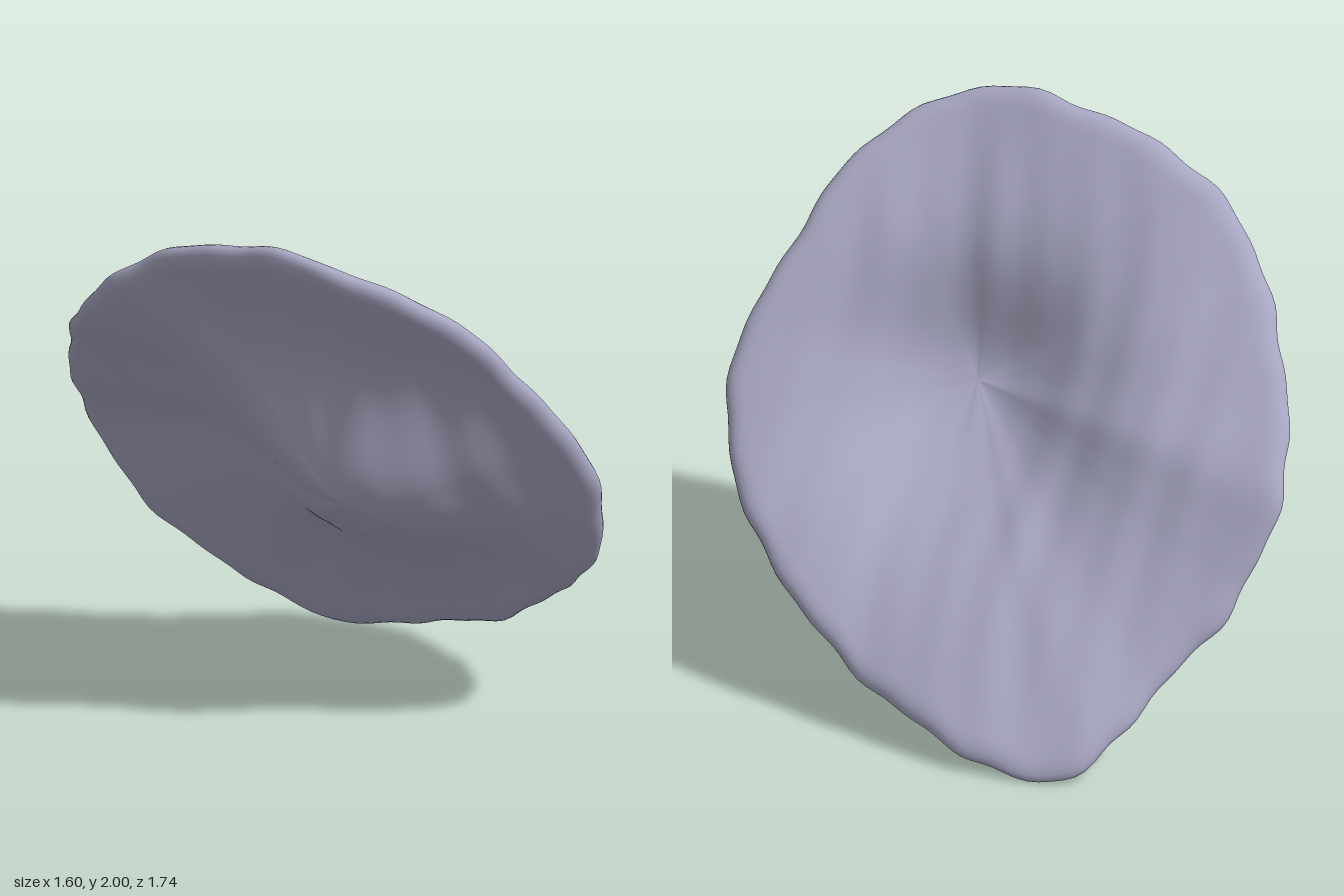
import * as THREE from 'three';
import { mergeVertices } from 'three/addons/utils/BufferGeometryUtils.js';

// Tilted disc frame: N is the hollow side's normal, U runs level, V runs up the slope
const N = new THREE.Vector3(0.624, 0.557, -0.546).normalize();
const U = new THREE.Vector3(0.659, 0, 0.753);
const V = new THREE.Vector3(-0.42, 0.83, 0.367);
const HUB = new THREE.Vector3(0.07, 1.11, 0.25); // above the deepest point
const DEPTH = 0.25, HALF_THICK = 0.04, SEGMENTS = 160, RINGS = 44;

// Uneven outline of the rim
const RIM = [
  [-0.5, 0.92, -0.85], [-0.38, 0.7, -0.86], [-0.26, 0.52, -0.85], [0, 0.28, -0.79],
  [0.3, 0.06, -0.78], [0.42, 0.01, -0.7], [0.55, 0.03, -0.55], [0.64, 0.1, -0.35],
  [0.73, 0.22, 0], [0.79, 0.42, 0.3], [0.79, 0.57, 0.52], [0.76, 0.8, 0.72],
  [0.65, 1.12, 0.845], [0.42, 1.43, 0.855], [0.14, 1.73, 0.85], [-0.08, 1.87, 0.79],
  [-0.29, 1.965, 0.66], [-0.4, 1.99, 0.5], [-0.53, 1.95, 0.28], [-0.67, 1.86, 0.04],
  [-0.77, 1.72, -0.12], [-0.79, 1.56, -0.3], [-0.74, 1.4, -0.48], [-0.64, 1.16, -0.69],
].map(p => new THREE.Vector3(...p));

// How far the sheet moves along N at a spot (u, v) from the hub
function relief(u, v, t) {
  const r = Math.hypot(u / (u < 0 ? 0.4 : 0.47), v / (v < 0 ? 0.58 : 0.34));
  const hollow = -DEPTH * Math.exp(-Math.pow(r, 2.1));
  const flap = 0.03 * Math.exp(-Math.pow((u + 0.75) / 0.3, 2));
  const bend = u + 0.07 * Math.sin(2.6 * v + 0.6);
  const ripple = 0.004 * Math.sin(19 * bend + 0.8) + 0.003 * Math.sin(33 * bend + 1.5 * v);
  const rimFade = 1 - Math.pow(t, 5);
  return (hollow + flap + ripple * Math.min(1, t * 2.5)) * rimFade;
}

function shellGeometry() {
  const curve = new THREE.CatmullRomCurve3(RIM, true, 'centripetal');
  // Cross-section from the hub over the hollow side, round the lip and back underneath
  const section = [];
  const lip = 0.93;
  for (let j = 0; j <= RINGS; j++) section.push([lip * j / RINGS, 1]);
  for (let j = 1; j < 10; j++) {
    const a = Math.PI / 2 - Math.PI * j / 10;
    section.push([lip + (1 - lip) * Math.cos(a), Math.sin(a)]);
  }
  for (let j = RINGS; j >= 0; j--) section.push([lip * j / RINGS, -1]);

  const positions = [], index = [];
  for (const [t, side] of section) {
    for (let i = 0; i < SEGMENTS; i++) {
      const k = i / SEGMENTS, a = k * Math.PI * 2;
      // Small scallops along the lip
      const scallop = 1 + t * t * (0.005 * Math.sin(17 * a) + 0.004 * Math.sin(29 * a + 1));
      const spoke = curve.getPointAt(k).sub(HUB).multiplyScalar(t * scallop);
      const lift = relief(spoke.dot(U), spoke.dot(V), t) + side * HALF_THICK;
      const p = spoke.add(HUB).addScaledVector(N, lift);
      positions.push(p.x, p.y, p.z);
    }
  }
  for (let j = 0; j < section.length - 1; j++) {
    for (let i = 0; i < SEGMENTS; i++) {
      const n = (i + 1) % SEGMENTS;
      const a = j * SEGMENTS + i, d = j * SEGMENTS + n;
      const b = a + SEGMENTS, c = d + SEGMENTS;
      if (j < section.length - 2) index.push(a, c, b);
      else index.push(a, d, b);
      if (j > 0 && j < section.length - 2) index.push(a, d, c);
    }
  }
  const sheet = new THREE.BufferGeometry();
  sheet.setAttribute('position', new THREE.Float32BufferAttribute(positions, 3));
  sheet.setIndex(index);
  const geometry = mergeVertices(sheet, 1e-5);
  geometry.computeVertexNormals();
  return geometry;
}

export function createModel() {
  const group = new THREE.Group();
  group.name = 'cuppedShell';
  const material = new THREE.MeshStandardMaterial({ color: 0xa8a7c2 });
  material.name = 'lavender grey';
  const shell = new THREE.Mesh(shellGeometry(), material);
  shell.name = 'shell';
  group.add(shell);
  return group;
}
